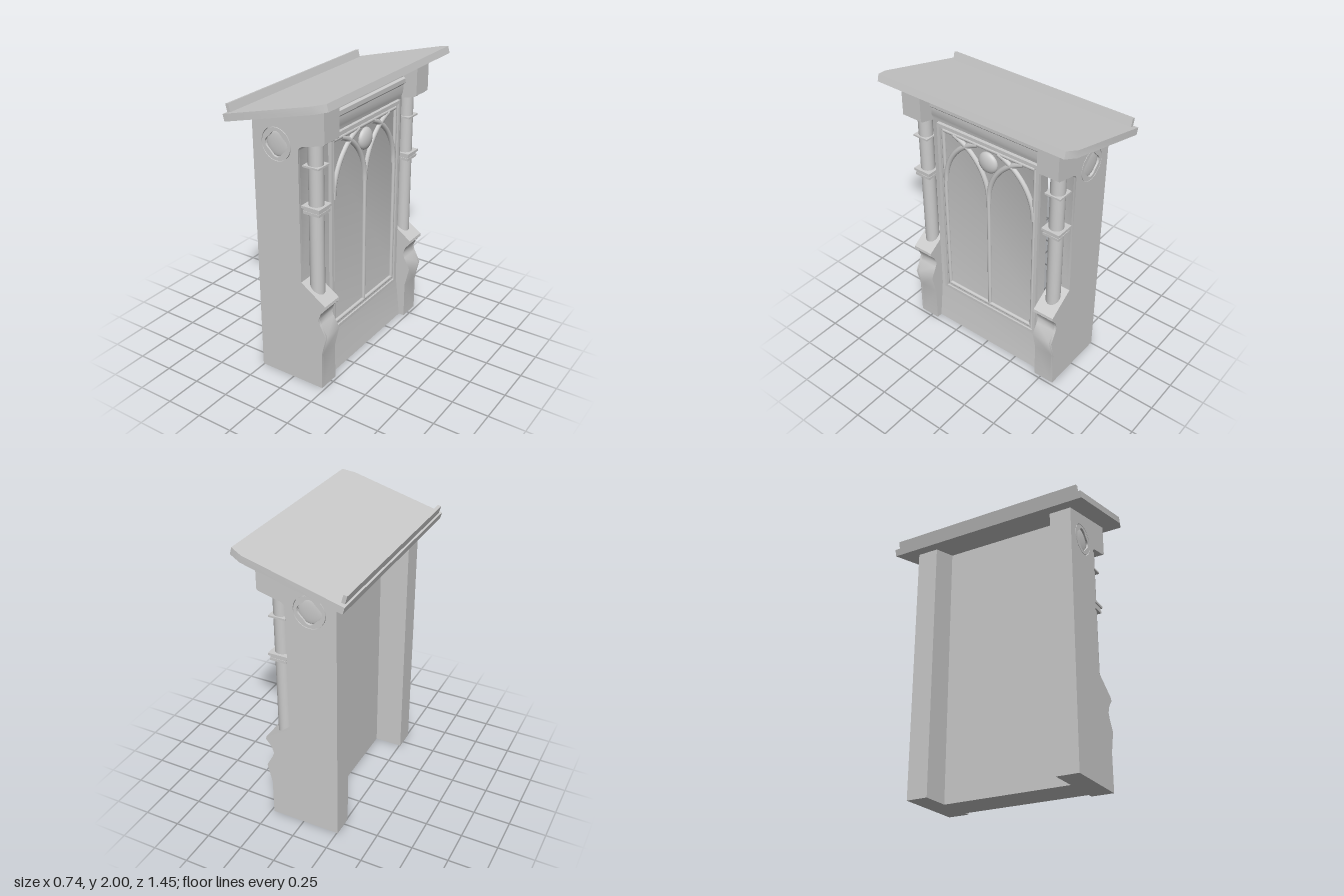
import * as THREE from 'three';
import { toCreasedNormals } from 'three/addons/utils/BufferGeometryUtils.js';

const mat = new THREE.MeshStandardMaterial({ color: 0xcccccc });

function add(parent, name, geo, x = 0, y = 0, z = 0) {
  const m = new THREE.Mesh(geo, mat);
  m.name = name;
  m.position.set(x, y, z);
  parent.add(m);
  return m;
}

const shapeOf = pts => new THREE.Shape(pts.map(p => new THREE.Vector2(...p)));
const extrude = (shape, depth) => toCreasedNormals(
  new THREE.ExtrudeGeometry(shape, { depth, bevelEnabled: false, curveSegments: 24 }), 0.8);

// Open sheet: an x-y outline swept along z, without end caps
function sweep(outline, width) {
  const n = outline.length;
  const geo = new THREE.PlaneGeometry(1, 1, n - 1, 1);
  const pos = geo.attributes.position;
  for (let i = 0; i < pos.count; i++)
    pos.setXYZ(i, ...outline[i % n], i < n ? width / 2 : -width / 2);
  return toCreasedNormals(geo, 0.5);
}

// Four-lobed outline centred on (cx, cy)
function quatrefoil(cx, cy, r) {
  const pts = [];
  for (let i = 0; i < 64; i++) {
    const a = i / 64 * Math.PI * 2;
    const d = r * (0.91 + 0.09 * Math.cos(4 * a));
    pts.push(new THREE.Vector2(cx + d * Math.cos(a), cy + d * Math.sin(a)));
  }
  return new THREE.Path(pts);
}

const EMBLEM = [-0.08, 1.64];

function sidePilaster() {
  const g = new THREE.Group();
  const profile = () => shapeOf([
    [-0.256, 0], [0.23, 0], [0.23, 0.26], [0.263, 0.4], [0.22, 0.48], [0.207, 0.515],
    [0.225, 0.565], [0.263, 0.61], [0.26, 0.63], [0.08, 0.75], [0.08, 1.63],
    [0.087, 1.65], [0.11, 1.665], [0.255, 1.7], [0.268, 1.71], [0.268, 1.94], [-0.256, 1.8]]);

  // Solid core, and an outer skin pierced by the round medallion
  add(g, 'pilasterCore', extrude(profile(), 0.135), 0, 0, 0.447);
  const skin = profile();
  skin.holes.push(new THREE.Path().absarc(...EMBLEM, 0.108, 0, Math.PI * 2, true));
  add(g, 'pilasterFace', extrude(skin, 0.016), 0, 0, 0.582);
  const disc = new THREE.Shape().absarc(...EMBLEM, 0.104, 0, Math.PI * 2, false);
  disc.holes.push(quatrefoil(...EMBLEM, 0.083));
  add(g, 'medallion', extrude(disc, 0.016), 0, 0, 0.582);
  const dome = new THREE.SphereGeometry(0.08, 32, 16);
  dome.scale(1, 1, 0.12);
  add(g, 'medallionDome', dome, ...EMBLEM, 0.582);

  // Free-standing column with square collars
  const cx = 0.152, cz = 0.522;
  add(g, 'column', new THREE.CylinderGeometry(0.048, 0.048, 1.05, 32), cx, 1.175, cz);
  for (const [y, w, h] of [[1.535, 0.115, 0.012], [1.272, 0.132, 0.016], [1.252, 0.112, 0.024], [1.236, 0.118, 0.018]])
    add(g, 'columnCollar', new THREE.BoxGeometry(w, h, w), cx, y, cz);
  return g;
}

function frontPanel() {
  const g = new THREE.Group();
  g.name = 'frontPanel';
  // Hollow panel: back sheet, underside, sloped base, face and moulded cornice
  add(g, 'panelBody', sweep([
    [-0.06, 1.86], [-0.06, 0], [0.19, 0], [0.155, 0.3], [0.155, 1.69], [0.168, 1.72],
    [0.168, 1.77], [0.183, 1.785], [0.183, 1.815], [0.168, 1.825], [0.168, 1.915]], 0.9));

  // Stepped rectangular frames
  const rect = (w, y0, y1) => [[-w, y0], [w, y0], [w, y1], [-w, y1]];
  for (const [w, y0, y1, t, d] of [[0.4, 0.305, 1.68, 0.022, 0.025], [0.378, 0.327, 1.658, 0.014, 0.013]]) {
    const s = shapeOf(rect(w, y0, y1));
    s.holes.push(shapeOf(rect(w - t, y0 + t, y1 - t)));
    add(g, 'panelFrame', extrude(s, d).rotateY(Math.PI / 2), 0.153, 0, 0);
  }

  // Tracery: uprights, rails and crossing lancet arcs
  const bar = (name, pts, r) => {
    const c = new THREE.CatmullRomCurve3(pts.map(([z, y]) => new THREE.Vector3(0.158, y, z)));
    add(g, name, new THREE.TubeGeometry(c, 24, r, 10));
  };
  for (const z of [-0.362, 0, 0.362]) bar('traceryUpright', [[z, 0.34], [z, z ? 1.64 : 1.25]], 0.014);
  for (const y of [0.352, 1.635]) bar('traceryRail', [[-0.36, y], [0.36, y]], 0.014);
  const R = 0.4;
  for (const [z0, dir] of [[0.355, -1], [0, -1], [0, 1], [-0.355, 1]]) {
    const pts = [];
    for (let i = 0; i <= 10; i++) {
      const a = i / 10 * 1.25;
      pts.push([z0 + dir * R * (1 - Math.cos(a)), 1.25 + R * Math.sin(a)]);
    }
    bar('traceryArc', pts, 0.018);
  }
  const boss = new THREE.SphereGeometry(0.074, 32, 20);
  boss.scale(0.45, 1, 1);
  add(g, 'roundBoss', boss, 0.158, 1.535, 0);
  return g;
}

function readingTop() {
  const g = new THREE.Group();
  g.name = 'readingTop';
  // Slab with clipped outer corners
  const slab = shapeOf([[0, -0.725], [0.665, -0.725], [0.75, -0.695], [0.75, 0.695], [0.665, 0.725], [0, 0.725]]);
  add(g, 'slab', extrude(slab, 0.047).rotateX(Math.PI / 2));
  add(g, 'bookLedge', new THREE.BoxGeometry(0.024, 0.058, 1.39), 0.025, 0.024, 0);
  g.position.set(-0.37, 1.807, 0);
  g.rotation.z = 0.26;
  return g;
}

export function createModel() {
  const model = new THREE.Group();
  model.name = 'lectern';
  model.add(frontPanel(), readingTop());
  const left = sidePilaster();
  left.name = 'sidePilasterFront';
  const right = sidePilaster();
  right.name = 'sidePilasterBack';
  right.scale.z = -1;
  model.add(left, right);
  return model;
}
